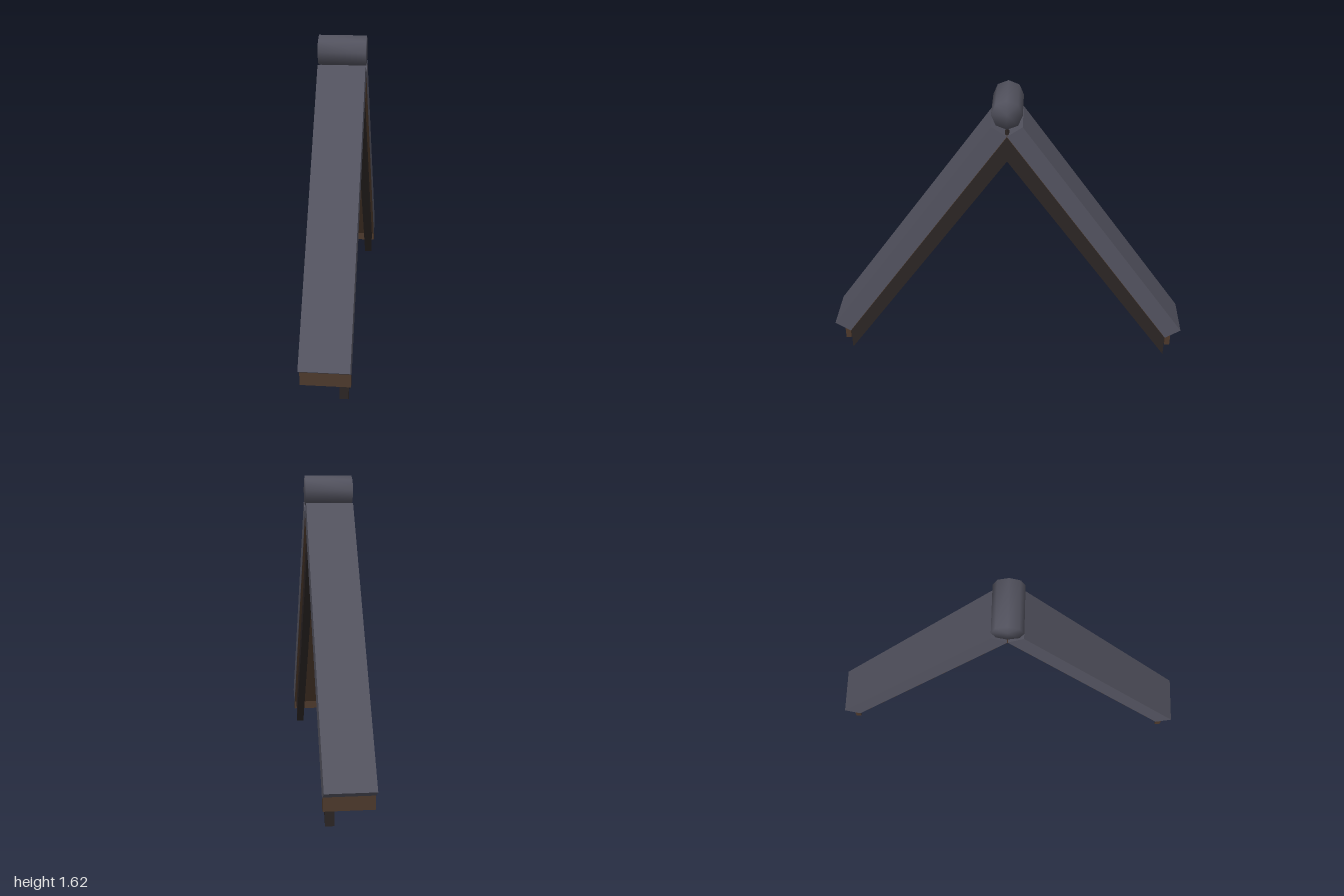
import * as THREE from 'three';
import { mergeVertices } from 'three/addons/utils/BufferGeometryUtils.js';

const slate = new THREE.MeshStandardMaterial({ color: 0x52525e });
const timber = new THREE.MeshStandardMaterial({ color: 0x4b382b });
const darkTimber = new THREE.MeshStandardMaterial({ color: 0x2a2423 });

// Side profile of [z, y] points, extruded across x from x0 to x1
function profilePart(name, points, x0, x1, material) {
  const shape = new THREE.Shape(points.map(([z, y]) => new THREE.Vector2(z, y)));
  const geometry = new THREE.ExtrudeGeometry(shape, { depth: x1 - x0, bevelEnabled: false });
  geometry.rotateY(-Math.PI / 2).translate(x1, 0, 0);
  const mesh = new THREE.Mesh(geometry, material);
  mesh.name = name;
  return mesh;
}

export function createModel() {
  const model = new THREE.Group();
  model.name = 'gableRoofSection';
  const half = 0.126;

  // Two roof slopes, mirrored front to back
  for (const [side, s] of [['front', 1], ['back', -1]]) {
    const slope = new THREE.Group();
    slope.name = side + 'Slope';
    const mirror = (points) => points.map(([z, y]) => [z * s, y]);

    // Outer roof covering
    slope.add(profilePart('roofSlab',
      mirror([[0, 1.42], [0.915, 0.135], [1, 0.19], [0.08, 1.475]]), -half, half, slate));
    // Thin timber lining under the covering
    slope.add(profilePart('roofLining',
      mirror([[0, 1.416], [0.915, 0.131], [0.915, 0.14], [0, 1.425]]),
      -half + 0.001, half - 0.001, timber));
    // Upright board along the eave
    slope.add(profilePart('eaveBoard',
      mirror([[0.915, 0.085], [0.945, 0.085], [0.945, 0.16], [0.915, 0.16]]),
      -half + 0.001, half - 0.001, timber));
    // Rafter near the left edge
    slope.add(profilePart('rafter',
      mirror([[0, 1.27], [0.915, 0], [0.915, 0.165], [0, 1.443]]), 0.068, 0.112, darkTimber));
    model.add(slope);
  }

  // Eight-sided ridge roll, shaded softly over its ends
  const roll = new THREE.CylinderGeometry(0.08, 0.08, half * 2, 8);
  roll.deleteAttribute('normal');
  roll.deleteAttribute('uv');
  const softRoll = mergeVertices(roll);
  softRoll.computeVertexNormals();
  const ridge = new THREE.Mesh(softRoll, slate);
  ridge.name = 'ridgeRoll';
  ridge.rotation.z = Math.PI / 2;
  ridge.position.y = 1.54;
  model.add(ridge);

  return model;
}
